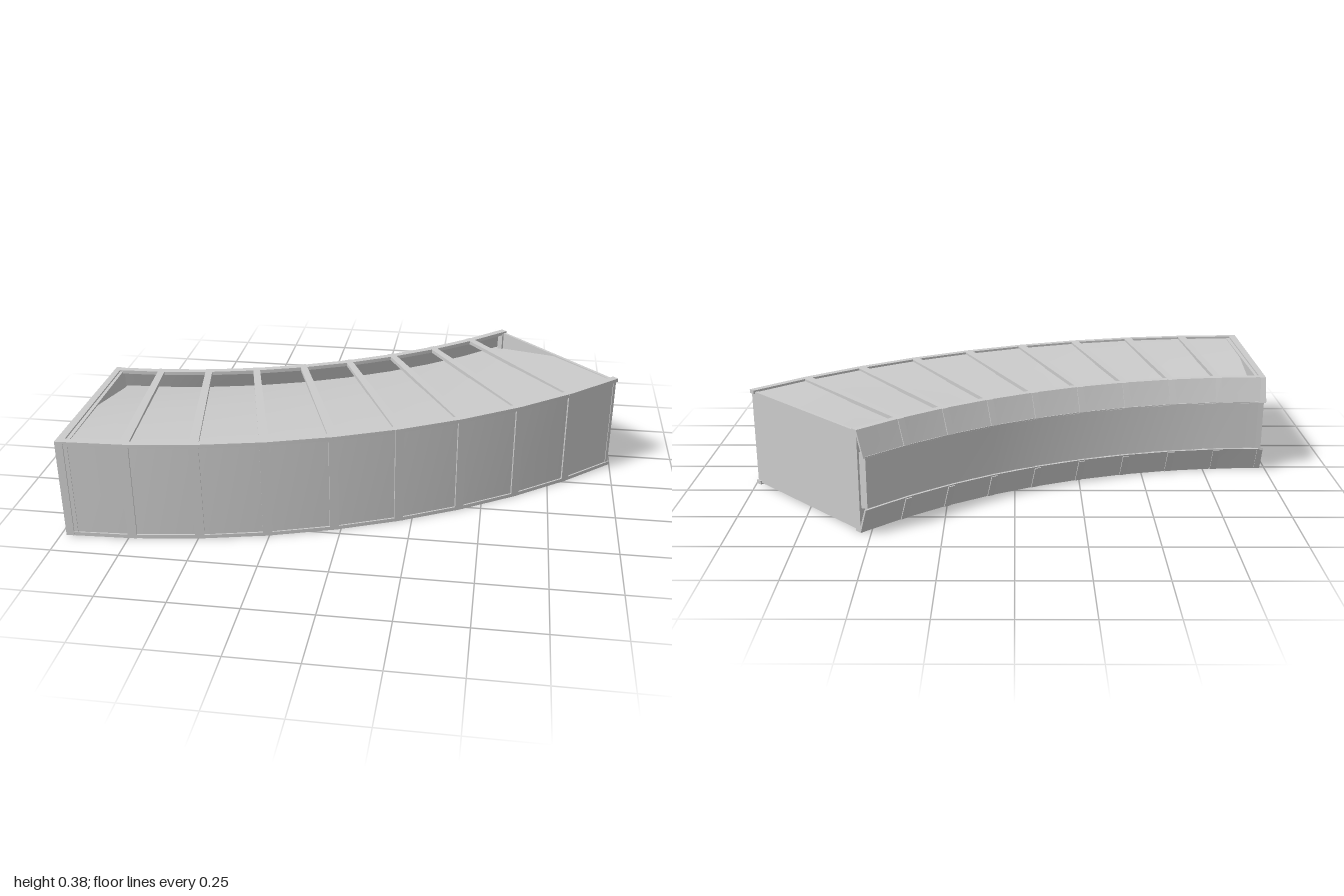
import * as THREE from 'three';
import { toCreasedNormals } from 'three/addons/utils/BufferGeometryUtils.js';

const DEG = Math.PI / 180;
const CX = -0.98, CZ = -2.155;            // centre of the bend
const R_IN = 2.145, R_OUT = 2.8, R_BACK = 2.11, H = 0.38;
const BAYS = 9, STEP = 5, END = 45;
const BAR = 0.026, THICK = 0.014;
const material = new THREE.MeshStandardMaterial({ color: 0xcccccc, side: THREE.DoubleSide });

// Sweeps a convex counter-clockwise [radius, height] section round the bend (degrees)
function sweep(section, from, to, steps = 1) {
  const pos = [];
  const point = ([r, y], a) => [CX + r * Math.sin(a * DEG), y, CZ + r * Math.cos(a * DEG)];
  const tri = (a, b, c) => pos.push(...a, ...b, ...c);
  const n = section.length;
  for (let s = 0; s < steps; s++) {
    const a0 = from + (to - from) * s / steps;
    const a1 = from + (to - from) * (s + 1) / steps;
    for (let i = 0; i < n; i++) {
      const p = section[i], q = section[(i + 1) % n];
      tri(point(p, a0), point(p, a1), point(q, a1));
      tri(point(p, a0), point(q, a1), point(q, a0));
    }
  }
  for (let i = 1; i < n - 1; i++) {
    tri(point(section[0], from), point(section[i], from), point(section[i + 1], from));
    tri(point(section[0], to), point(section[i + 1], to), point(section[i], to));
  }
  const geometry = new THREE.BufferGeometry();
  geometry.setAttribute('position', new THREE.Float32BufferAttribute(pos, 3));
  return toCreasedNormals(geometry, 0.3);
}

const rect = (r0, r1, y0, y1) => [[r0, y0], [r1, y0], [r1, y1], [r0, y1]];
// Mirrors a section top to bottom, keeping its corner order
const flip = (section) => section.map(([r, y]) => [r, H - y]).reverse();

export function createModel() {
  const group = new THREE.Group();
  const add = (name, section, from, to, steps, parent = group) => {
    const mesh = new THREE.Mesh(sweep(section, from, to, steps), material);
    mesh.name = name;
    parent.add(mesh);
  };

  // Inner body: full height at the front, narrowing to a band at the back
  add('innerBody', [
    [R_BACK, 0.1], [2.47, 0.012], [R_OUT - 0.006, 0.008],
    [R_OUT - 0.006, H - 0.008], [2.47, H - 0.012], [R_BACK, 0.29],
  ], 0.8, END - 0.2, BAYS);

  // Long rails and the sloping strips along the back, top and bottom
  const sections = {
    outerRail: rect(R_OUT - BAR, R_OUT, H - THICK, H),
    innerRail: rect(R_IN, R_IN + BAR, H - THICK, H),
    backSlope: [[R_BACK, 0.285], [R_BACK + 0.008, 0.285], [R_IN + 0.008, H - 0.004], [R_IN, H]],
  };
  for (const [name, section] of Object.entries(sections)) {
    add(name + 'Top', section, 0, END, BAYS);
    add(name + 'Bottom', flip(section), 0, END, BAYS);
  }

  // Ribs between the bays, with a frame at the left end
  for (let i = 0; i < BAYS; i++) {
    const rib = new THREE.Group();
    rib.name = i === 0 ? 'endFrame' : 'rib' + i;
    const from = i === 0 ? 0 : i * STEP - 0.35;
    const to = i === 0 ? 0.6 : i * STEP + 0.35;
    const roof = rect(R_IN, R_OUT, H - THICK, H);
    const slope = [[R_BACK - 0.004, 0.29], [R_BACK + 0.006, 0.29], [R_IN + 0.006, H], [R_IN - 0.004, H]];
    add('roofBar', roof, from, to, 1, rib);
    add('floorBar', flip(roof), from, to, 1, rib);
    add('frontPost', rect(R_OUT - BAR, R_OUT, 0, H), from, to, 1, rib);
    add('slopeBarTop', slope, from, to, 1, rib);
    add('slopeBarBottom', flip(slope), from, to, 1, rib);
    group.add(rib);
  }

  // Back posts and recessed panels closing both ends
  add('backPostLeftEnd', rect(R_IN, R_IN + BAR, 0, H), 0, 0.6);
  add('backPostRightEnd', rect(R_IN, R_IN + BAR, 0, H), END - 0.6, END);
  const panel = rect(R_IN + 0.005, R_OUT - 0.004, 0.006, H - 0.006);
  add('endPanelLeft', panel, 0.6, 0.9);
  add('endPanelRight', panel, END - 0.4, END - 0.12);

  return group;
}
